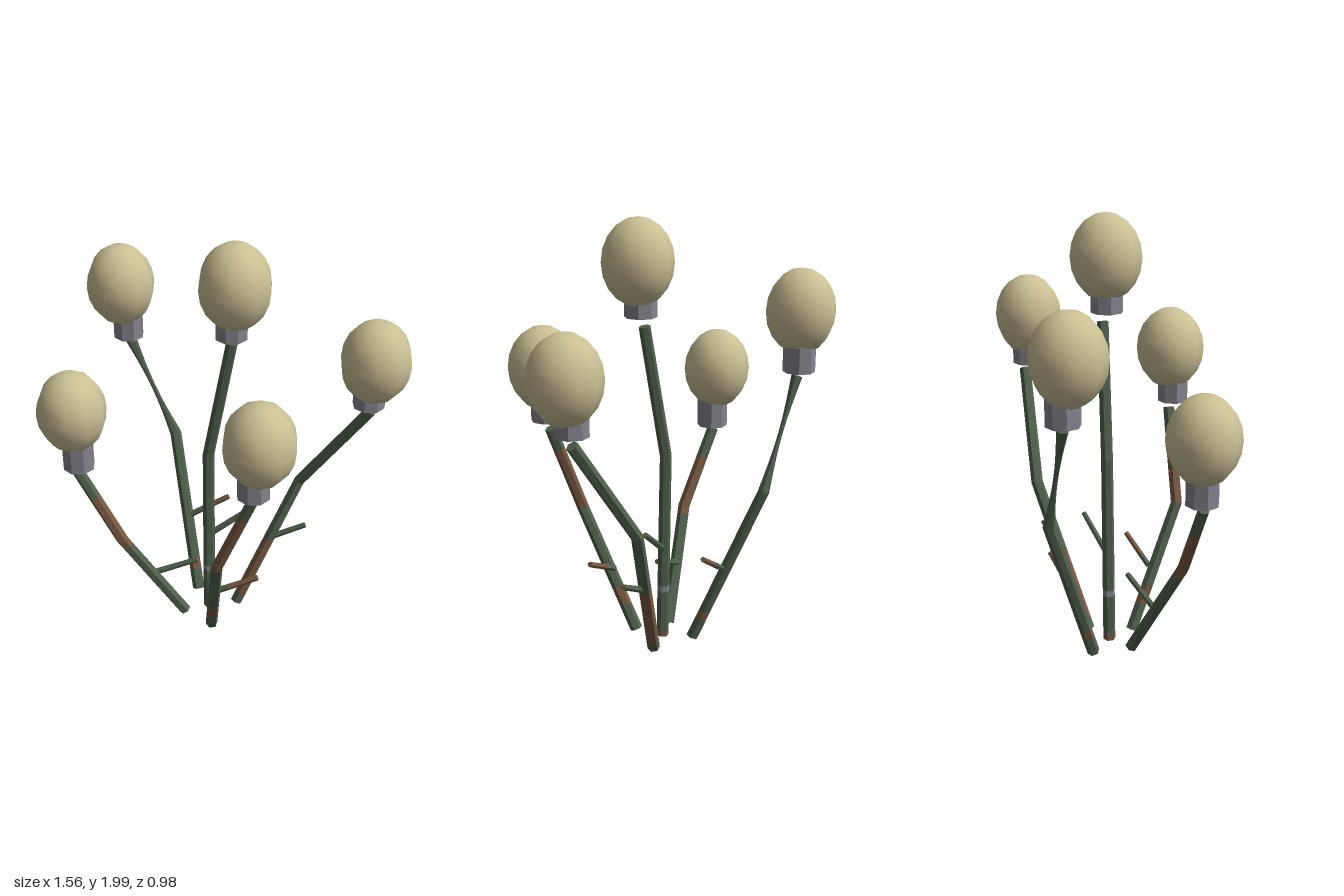
import * as THREE from 'three';

const material = (name, color) => {
  const m = new THREE.MeshStandardMaterial({ color });
  m.name = name;
  return m;
};

// Faceted hexagonal rod through rings {p, t, r, roll}; bands[i] is the material index between rings i and i+1
function rod(rings, bands, materials, name) {
  const N = 6, pos = [], geo = new THREE.BufferGeometry();
  const loops = rings.map(({ p, t, r, roll = 0 }) => {
    const u = new THREE.Vector3(1, 0, 0).addScaledVector(t, -t.x);
    if (u.length() < 0.1) u.set(0, 0, 1).addScaledVector(t, -t.z);
    u.normalize();
    const v = t.clone().cross(u);
    return Array.from({ length: N }, (_, k) => {
      const a = (k / N) * Math.PI * 2 + roll;
      return p.clone().addScaledVector(u, r * Math.cos(a)).addScaledVector(v, r * Math.sin(a));
    });
  });
  const tri = (...c) => c.forEach(q => pos.push(q.x, q.y, q.z));
  const last = loops.length - 1;
  const closeGroup = (start, m) => geo.addGroup(start, pos.length / 3 - start, m);
  for (let i = 0; i < last; i++) {
    const start = pos.length / 3;
    for (let k = 0; k < N; k++) {
      const j = (k + 1) % N, a = loops[i], b = loops[i + 1];
      tri(a[k], a[j], b[j]);
      tri(a[k], b[j], b[k]);
      if (i === 0) tri(rings[0].p, a[j], a[k]);
      if (i === last - 1) tri(rings[last].p, b[k], b[j]);
    }
    closeGroup(start, bands[i]);
  }
  geo.setAttribute('position', new THREE.Float32BufferAttribute(pos, 3));
  geo.computeVertexNormals();
  const mesh = new THREE.Mesh(geo, materials);
  mesh.name = name;
  return mesh;
}

// Bent stem: three points, coloured patches given as [fromY, toY, materialIndex]
function stem(points, patches, twist, materials) {
  const [a, b, c] = points.map(q => new THREE.Vector3(...q));
  const low = b.clone().sub(a).normalize(), high = c.clone().sub(b).normalize();
  const mid = low.clone().add(high).normalize();
  const ys = new Set([a.y, b.y, c.y]);
  patches.forEach(([y0, y1]) => { ys.add(y0); ys.add(y1); });
  if (twist) for (let k = 1; k < 8; k++) ys.add(b.y + (c.y - b.y) * k / 8);
  const list = [...ys].sort((m, n) => m - n);
  const rings = list.map(y => {
    const upper = y > b.y, [s, e] = upper ? [b, c] : [a, b];
    const f = (y - s.y) / (e.y - s.y);
    const pinch = upper && twist ? 1 - 0.62 * Math.sin(Math.PI * f) : 1;
    return {
      p: s.clone().lerp(e, f),
      t: y === b.y ? mid : upper ? high : low,
      r: (0.029 - 0.002 * (y - a.y)) * pinch,
      roll: Math.PI / 6,
    };
  });
  const bands = list.slice(0, -1).map((y, i) => {
    const m = (y + list[i + 1]) / 2;
    const hit = patches.find(([y0, y1]) => m > y0 && m < y1);
    return hit ? hit[2] : 0;
  });
  return rod(rings, bands, materials, 'stem');
}

// Short side twig; from fraction "brownFrom" onward it is brown
function twig(from, to, brownFrom, materials) {
  const a = new THREE.Vector3(...from), b = new THREE.Vector3(...to);
  const t = b.clone().sub(a).normalize();
  const rings = [0, brownFrom, 1].map(f => ({ p: a.clone().lerp(b, f), t, r: 0.015 - 0.002 * f }));
  return rod(rings, [0, 1], materials, 'twig');
}

export function createModel() {
  const green = material('stem green', 0x50614d);
  const brown = material('bark brown', 0x795840);
  const grey = material('collar grey', 0x85848e);
  const cream = material('bulb cream', 0xcbc094);
  const stemMaterials = [green, brown, grey];

  // Each stalk: stem path, patches, twig, collar and bulb
  const stalks = [
    { name: 'centreStalk', path: [[-0.07, 0.02, -0.05], [-0.075, 0.92, -0.06], [0.04, 1.53, -0.05]],
      patches: [[0.02, 0.05, 1], [0.25, 0.28, 2]],
      twig: [[-0.07, 0.46, -0.06], [0.1, 0.6, -0.13], 0.99],
      collar: [0.045, 1.57, -0.03], bulb: [0.06, 1.807, -0.03] },
    { name: 'backRightStalk', path: [[-0.17, 0.02, -0.15], [-0.38, 0.77, -0.385], [-0.59, 1.27, -0.36]],
      patches: [[0.12, 0.16, 1]], twist: true,
      twig: [[-0.26, 0.38, -0.26], [-0.075, 0.5, -0.325], 0.5],
      collar: [-0.6, 1.29, -0.36], bulb: [-0.62, 1.56, -0.34] },
    { name: 'frontRightStalk', path: [[-0.17, 0.02, 0.03], [-0.41, 0.52, 0.2], [-0.61, 0.88, 0.22]],
      patches: [[0.48, 0.74, 1]],
      twig: [[-0.29, 0.28, 0.1], [-0.1, 0.36, 0.03], 0.99],
      collar: [-0.6, 0.9, 0.215], bulb: [-0.62, 1.187, 0.21] },
    { name: 'backLeftStalk', path: [[0.045, 0.02, -0.125], [0.29, 0.7, -0.315], [0.61, 1.17, -0.305]],
      patches: [[0.07, 0.38, 1]],
      twig: [[0.16, 0.38, -0.22], [0.34, 0.47, -0.28], 0.99],
      collar: [0.6, 1.205, -0.29], bulb: [0.62, 1.435, -0.28] },
    { name: 'frontLeftStalk', path: [[-0.01, 0.02, 0.075], [0.115, 0.6, 0.325], [0.285, 1.025, 0.33]],
      patches: [[0.14, 0.22, 1], [0.6, 0.92, 1]],
      twig: [[0.05, 0.32, 0.17], [0.235, 0.41, 0.11], 0.3],
      collar: [0.29, 1.06, 0.35], bulb: [0.31, 1.312, 0.34] },
  ];

  const group = new THREE.Group();
  for (const s of stalks) {
    const stalk = new THREE.Group();
    stalk.name = s.name;
    stalk.add(stem(s.path, s.patches, s.twist, stemMaterials), twig(...s.twig, stemMaterials));

    // Faceted collar reaching up into the bulb
    const height = s.bulb[1] - 0.15 - s.collar[1];
    const collarGeo = new THREE.CylinderGeometry(0.073, 0.073, height, 8).toNonIndexed();
    collarGeo.computeVertexNormals();
    const collar = new THREE.Mesh(collarGeo, grey);
    collar.name = 'collar';
    collar.position.set(s.collar[0], s.collar[1] + height / 2, s.collar[2]);

    // Smooth egg-shaped bulb
    const bulb = new THREE.Mesh(new THREE.SphereGeometry(1, 10, 10), cream);
    bulb.name = 'bulb';
    bulb.scale.set(0.158, 0.193, 0.158);
    bulb.position.set(...s.bulb);
    stalk.add(collar, bulb);
    group.add(stalk);
  }
  return group;
}
